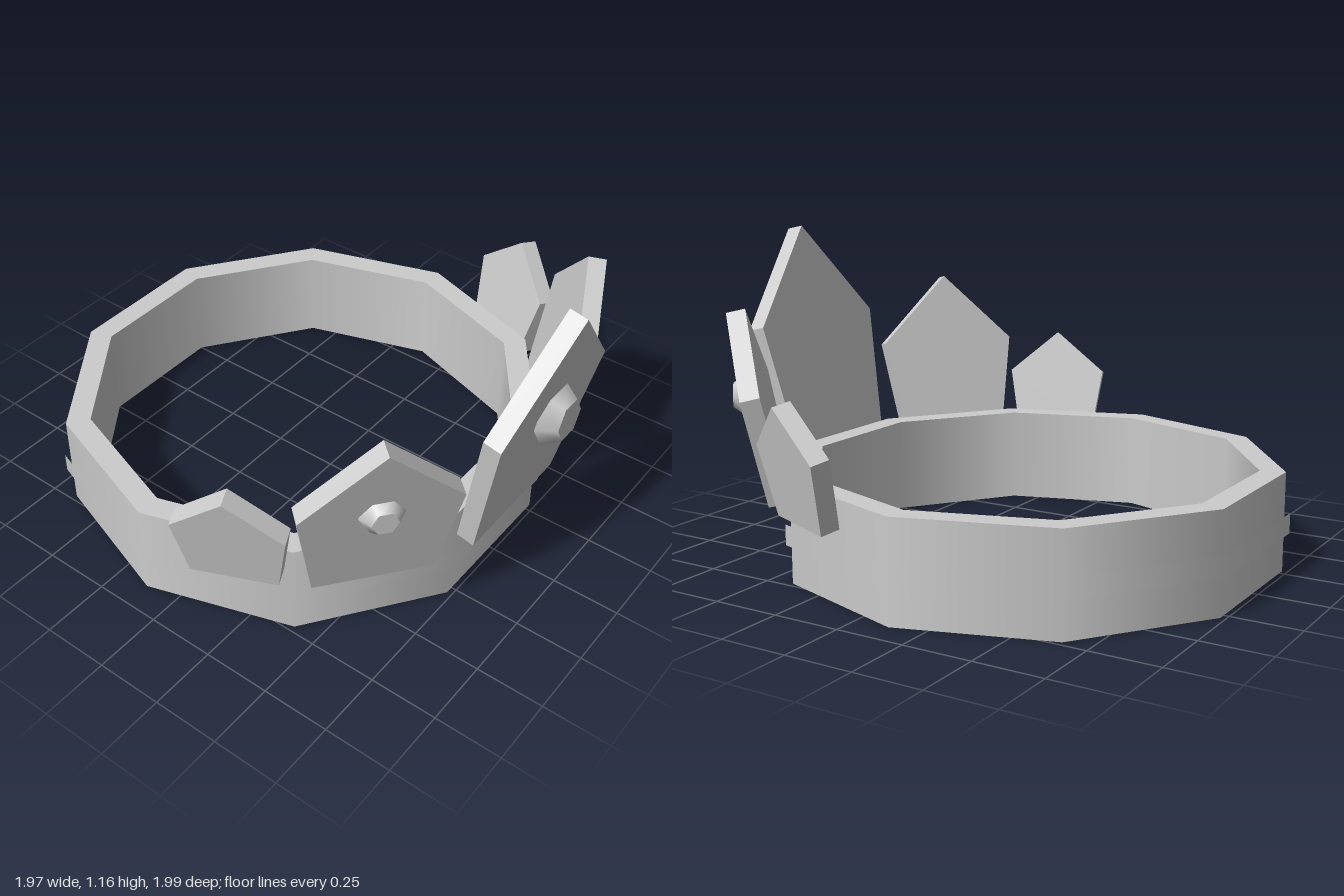
import * as THREE from 'three';

const TILT = THREE.MathUtils.degToRad(12);
const RING_Z = -0.125;
const PLATE_DEPTH = 0.068;
const PLATE_BASE = 0.26;

export function createModel() {
  const crown = new THREE.Group();
  crown.name = 'crown';
  const metal = new THREE.MeshStandardMaterial({ color: 0xcccccc });
  metal.name = 'silver';

  const add = (parent, geometry, name) => {
    const mesh = new THREE.Mesh(geometry, metal);
    mesh.name = name;
    parent.add(mesh);
    return mesh;
  };

  // One ten-sided surface swept between two profile points
  const sweep = (parent, a, b, name) => {
    const points = [new THREE.Vector2(...a), new THREE.Vector2(...b)];
    add(parent, new THREE.LatheGeometry(points, 10, Math.PI / 10), name);
  };

  // Band: outer wall, top rim, inner wall, bottom rim, and a thin raised trim
  const band = new THREE.Group();
  band.name = 'band';
  band.position.z = RING_Z;
  crown.add(band);
  const corners = [[0.9, 0], [0.9, 0.36], [0.81, 0.36], [0.81, 0]];
  const names = ['bandOuterWall', 'bandTopRim', 'bandInnerWall', 'bandBottomRim'];
  names.forEach((name, i) => sweep(band, corners[i], corners[(i + 1) % 4], name));
  sweep(band, [0.92, 0.14], [0.92, 0.213], 'bandTrim');

  // Pointed plate leaning outward, placed by the middle of its front bottom edge
  const addPlate = (name, x, z, yaw, foot, shoulder, shoulderY, tipY) => {
    const shape = new THREE.Shape([
      new THREE.Vector2(-foot, 0),
      new THREE.Vector2(foot, 0),
      new THREE.Vector2(shoulder, shoulderY),
      new THREE.Vector2(0, tipY),
      new THREE.Vector2(-shoulder, shoulderY),
    ]);
    const geometry = new THREE.ExtrudeGeometry(shape, { depth: PLATE_DEPTH, bevelEnabled: false });
    geometry.translate(0, 0, -PLATE_DEPTH);
    const plate = add(crown, geometry, name);
    plate.position.set(x, PLATE_BASE, z);
    plate.rotation.set(TILT, yaw, 0, 'YXZ');
  };

  // Upright hexagonal stud with a flat front
  const addStud = (name, x, y, z, yaw, radius, frontRadius, depth) => {
    const geometry = new THREE.CylinderGeometry(frontRadius, radius, depth, 6, 1, false, Math.PI / 6);
    geometry.rotateX(Math.PI / 2);
    const stud = add(crown, geometry, name);
    stud.position.set(x, y, z);
    stud.rotation.y = yaw;
  };

  addPlate('centrePlate', 0, 0.805, 0, 0.255, 0.33, 0.54, 0.905);
  addStud('centreStud', 0, 0.735, 0.944, 0, 0.118, 0.073, 0.064);

  // Mirrored plates stepping down around both sides
  for (const [side, s] of [['left', 1], ['right', -1]]) {
    const middleYaw = s * THREE.MathUtils.degToRad(38);
    const outerYaw = s * THREE.MathUtils.degToRad(66.4);
    addPlate(side + 'MiddlePlate', s * 0.575, 0.62, middleYaw, 0.21, 0.274, 0.389, 0.66);
    addStud(side + 'MiddleStud', s * 0.636, 0.616, 0.698, middleYaw, 0.078, 0.046, 0.043);
    addPlate(side + 'OuterPlate', s * 0.858, 0.259, outerYaw, 0.153, 0.194, 0.25, 0.414);
  }
  return crown;
}
